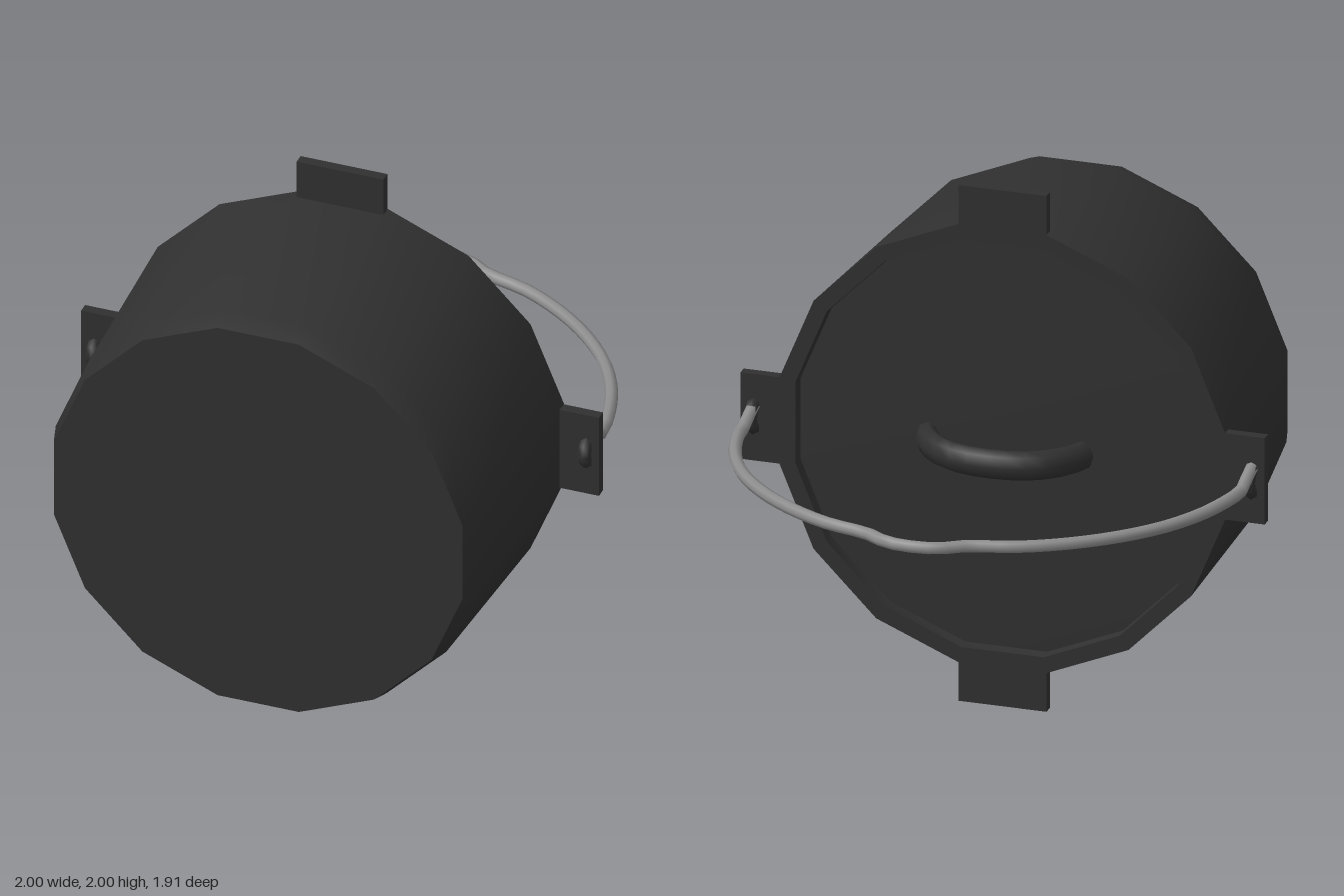
import * as THREE from 'three';
import { toCreasedNormals } from 'three/addons/utils/BufferGeometryUtils.js';

export function createModel() {
  const model = new THREE.Group();
  model.name = 'castIronPot';

  const iron = new THREE.MeshStandardMaterial({ color: 0x303030 });
  iron.name = 'cast iron';
  const steel = new THREE.MeshStandardMaterial({ color: 0x8c8c8c });
  steel.name = 'steel wire';

  const add = (name, geometry, material, x = 0, y = 1, z = 0) => {
    const mesh = new THREE.Mesh(geometry, material);
    mesh.name = name;
    mesh.position.set(x, y, z);
    model.add(mesh);
    return mesh;
  };

  // Sixteen-sided turned shape around z, from [radius, z] pairs
  const turned = (profile) => {
    const points = profile.map(([r, z]) => new THREE.Vector2(r, z));
    const g = new THREE.LatheGeometry(points, 16, Math.PI / 16);
    g.rotateX(Math.PI / 2);
    return toCreasedNormals(g, 0.7);
  };

  // Smooth mirrored wire from the +x end to the middle, [x, y, z]
  const arch = (half, segments, radius, sides) => {
    const mirrored = half.slice(0, -1).reverse().map(([x, y, z]) => [-x, y, z]);
    const points = [...half, ...mirrored].map((p) => new THREE.Vector3(...p));
    const curve = new THREE.CatmullRomCurve3(points, false, 'centripetal');
    return new THREE.TubeGeometry(curve, segments, radius, sides);
  };

  // Pot lies on its side: base toward +z, rim and lid toward -z
  add('pot', turned([
    [0.8, 0.14], [0.805, 0.09], [0.866, 0.09], [0.832, 0.87], [0.805, 0.96], [0, 0.96],
  ]), iron);
  add('lid', turned([[0, 0.105], [0.802, 0.135]]), iron);

  // Four rim tabs
  for (let i = 0; i < 4; i++) {
    const a = (i * Math.PI) / 2;
    const tab = add('rimTab', new THREE.BoxGeometry(0.19, 0.335, 0.04), iron,
      0.905 * Math.cos(a), 1 + 0.905 * Math.sin(a), 0.111);
    tab.rotation.z = a;
  }

  // Lid grip, wider than it is thick
  const grip = arch([
    [0.305, 0, 0.15], [0.285, 0, 0.09], [0.235, 0, 0.02], [0.14, 0, -0.045], [0, 0, -0.068],
  ], 12, 0.042, 8);
  grip.scale(1, 1.35, 1);
  add('lidGrip', grip, iron);

  // Bail wire with a raised bump in the middle
  add('bail', arch([
    [0.95, 0.045, 0.1], [0.95, 0.03, 0.05], [0.95, 0, -0.02], [0.94, 0, -0.11],
    [0.89, 0, -0.285], [0.8, 0, -0.455], [0.675, 0, -0.6], [0.525, 0, -0.72],
    [0.36, 0, -0.81], [0.19, 0, -0.86], [0.1, 0, -0.915], [0, 0, -0.93],
  ], 48, 0.024, 8), steel);

  // Hook rings through the side tabs
  for (const side of [1, -1]) {
    const ring = add('bailHook', new THREE.TorusGeometry(0.047, 0.025, 6, 10), iron,
      side * 0.95, 1 + side * 0.005, 0.103);
    ring.rotation.y = Math.PI / 2;
  }

  return model;
}
